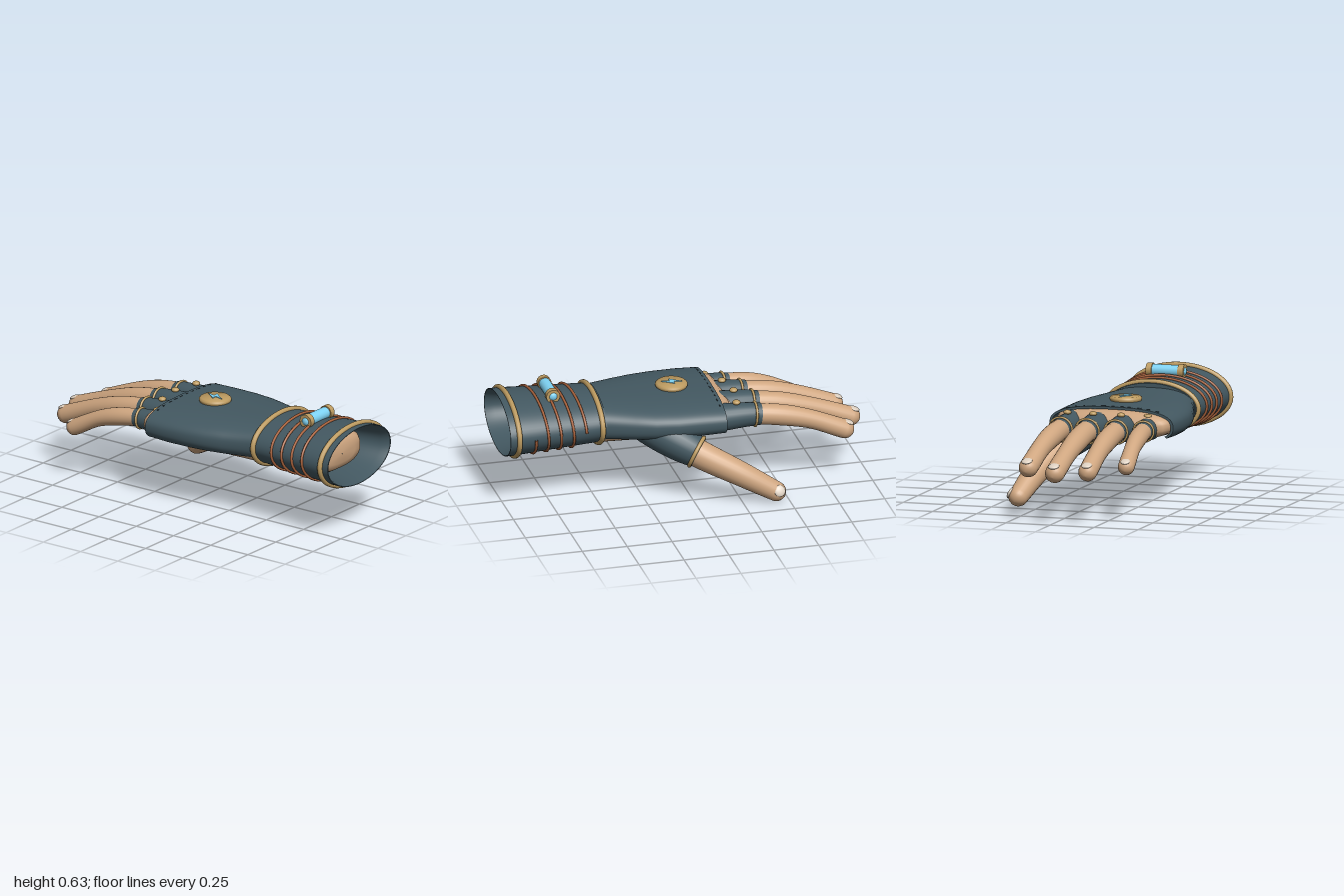
import * as THREE from 'three';
import { toCreasedNormals } from 'three/addons/utils/BufferGeometryUtils.js';

const mat = (color, side = THREE.FrontSide) => new THREE.MeshStandardMaterial({ color, side });
const M = {
  glove: mat(0x435861, THREE.DoubleSide), skin: mat(0xcfa680), gold: mat(0xbd9b60),
  copper: mat(0xa8623c), glass: mat(0x7fd4f5), nail: mat(0xdccfc0), thread: mat(0x28343a),
};
const V = (x, y, z) => new THREE.Vector3(x, y, z);
const CX = -0.085, CY = 0.43;

function add(parent, name, geo, material) {
  const m = new THREE.Mesh(geo, material);
  m.name = name;
  parent.add(m);
  return m;
}

// Skin a list of closed rings; ring direction and row direction give outward faces
function loft(rows) {
  const n = rows[0].length, idx = [], geo = new THREE.BufferGeometry();
  for (let i = 0; i < rows.length - 1; i++) for (let j = 0; j < n; j++) {
    const a = i * n + j, b = i * n + (j + 1) % n;
    idx.push(a, a + n, b, b, a + n, b + n);
  }
  geo.setFromPoints(rows.flat());
  geo.setIndex(idx);
  geo.computeVertexNormals();
  return geo;
}

// Superellipse point in a plane of constant z
function superPoint([z, cx, cy, rx, ry], a, n, inset = 0) {
  const c = Math.cos(a), s = Math.sin(a), e = 2 / n;
  return V(cx + (rx - inset) * Math.sign(c) * Math.abs(c) ** e,
    cy + (ry - inset) * Math.sign(s) * Math.abs(s) ** e, z);
}

function frameAt(curve, u) {
  const p = curve.getPointAt(u), t = curve.getTangentAt(u);
  const side = t.clone().cross(V(0, 1, 0)).normalize();
  return { p, t, side, up: side.clone().cross(t) };
}

// Tapered tube along part of a curve, with optional round ends and a pointed upper tab at its start
function limb(curve, u0, u1, radius, { round = false, tab = 0 } = {}) {
  const rows = [], N = 20, S = 24;
  const ring = (u, r, shift, k) => {
    const f = frameAt(curve, u);
    rows.push(Array.from({ length: S }, (_, j) => {
      const a = j / S * Math.PI * 2;
      const back = tab * (1 - k) * Math.max(0, Math.sin(a)) ** 3;
      return f.p.clone().addScaledVector(f.t, shift - back)
        .addScaledVector(f.side, r * Math.cos(a)).addScaledVector(f.up, r * Math.sin(a));
    }));
  };
  const dome = (u, dir) => {
    for (let i = 1; i <= 7; i++) {
      const a = (dir > 0 ? i : 8 - i) / 7 * Math.PI / 2, r = radius(u);
      ring(u, Math.max(0.0005, r * Math.cos(a)), dir * r * Math.sin(a), 1);
    }
  };
  if (round) dome(u0, -1);
  for (let i = 0; i <= N; i++) {
    const u = u0 + (u1 - u0) * i / N;
    ring(u, radius(u), 0, i / N);
  }
  if (round) dome(u1, 1);
  return loft(rows);
}

function band(parent, name, curve, u, r, tube) {
  const f = frameAt(curve, u), m = add(parent, name, new THREE.TorusGeometry(r, tube, 10, 36), M.gold);
  m.position.copy(f.p);
  m.quaternion.setFromUnitVectors(V(0, 0, 1), f.t);
}

function nail(parent, curve, r, sideways) {
  const f = frameAt(curve, 1);
  const out = f.up.clone().addScaledVector(f.side, sideways).normalize();
  const m = add(parent, 'nail', new THREE.SphereGeometry(1, 16, 12), M.nail);
  m.quaternion.setFromRotationMatrix(new THREE.Matrix4().makeBasis(out.clone().cross(f.t), out, f.t));
  m.scale.set(r * 0.6, r * 0.22, r * 0.6);
  m.position.copy(f.p).addScaledVector(out, r * 0.88).addScaledVector(f.t, r * 0.12);
}

function finger(name, bx, tx, tipZ, tipY, r0, r1, bandZ, sleeveLength = 0.13) {
  const g = new THREE.Group(), baseZ = -0.15, endZ = tipZ + r1;
  g.name = name;
  const at = (k, y) => V(bx + (tx - bx) * k, y, baseZ + (endZ - baseZ) * k);
  const curve = new THREE.CatmullRomCurve3([at(0, 0.423), at(0.35, 0.421), at(0.7, tipY + 0.085), at(1, tipY)]);
  const radius = u => r0 + (r1 - r0) * u + 0.002 * Math.cos(u * Math.PI * 4);
  add(g, 'fingerSkin', limb(curve, 0, 1, radius, { round: true }), M.skin);
  nail(g, curve, r1, 0);
  // Sleeve, gold band and knuckle stud
  const uAt = z => Math.max(0, (baseZ - z) / (baseZ - endZ) * 0.97);
  const uB = uAt(bandZ), uS = uAt(bandZ + sleeveLength), sr = u => r0 + 0.015 - 0.014 * (u - uS) / (uB - uS);
  add(g, 'fingerSleeve', limb(curve, uS, uAt(bandZ - 0.03), sr, { tab: 0.05 }), M.glove);
  band(g, 'fingerBand', curve, uB, sr(uB) + 0.002, 0.007);
  const f = frameAt(curve, uAt(bandZ + 0.1));
  const stud = add(g, 'knuckleStud', new THREE.SphereGeometry(0.022, 16, 12), M.gold);
  stud.scale.y = 0.6;
  stud.position.copy(f.p).addScaledVector(f.up, r0 + 0.015);
  return g;
}

export function createModel() {
  const model = new THREE.Group();

  // Palm and wrist
  const palm = [[0.885, CX, 0.415, 0.002, 0.002], [0.882, CX, 0.415, 0.12, 0.05], [0.868, CX, 0.415, 0.185, 0.082],
    [0.84, CX, 0.415, 0.213, 0.098], [0.78, CX, 0.415, 0.223, 0.103], [0.45, CX, 0.41, 0.228, 0.106],
    [0.3, -0.08, 0.422, 0.275, 0.105], [0.1, -0.08, 0.43, 0.328, 0.09], [-0.1, -0.078, 0.435, 0.337, 0.082],
    [-0.18, -0.092, 0.435, 0.314, 0.077], [-0.225, -0.105, 0.432, 0.278, 0.067], [-0.25, -0.1, 0.43, 0.23, 0.045],
    [-0.258, -0.09, 0.43, 0.002, 0.002]];
  add(model, 'palm', loft(palm.map(r => Array.from({ length: 48 }, (_, j) =>
    superPoint(r, j / 48 * Math.PI * 2, 2.6)))), M.skin);

  // Glove shell over the back of the hand, open under the palm
  const shell = [[0.5, CX, CY, 0.24, 0.11], [0.44, -0.083, CY, 0.252, 0.11], [0.3, -0.08, CY, 0.302, 0.108],
    [0.2, -0.078, CY, 0.33, 0.107], [0.08, -0.078, CY, 0.347, 0.106], [-0.06, -0.078, CY, 0.352, 0.104],
    [-0.185, -0.075, CY, 0.35, 0.099]];
  const arc = (r, inset) => Array.from({ length: 49 }, (_, j) =>
    superPoint(r, (-30 + 240 * j / 48) * Math.PI / 180, 2.6, inset));
  const shellRows = shell.map(r => [...arc(r, 0), ...arc(r, 0.014).reverse()]);
  const last = shell[shell.length - 1];
  shellRows.push([...arc(last, 0.014), ...arc(last, 0.014).reverse()]);
  add(model, 'gloveBack', toCreasedNormals(loft(shellRows), 0.7), M.glove);

  // Stitches along the knuckle edge
  for (let i = 0; i < 11; i++) {
    const x = -0.325 + i * 0.05, q = Math.abs((x + 0.075) / 0.35) ** 2.6;
    add(model, 'stitch', new THREE.BoxGeometry(0.025, 0.006, 0.006), M.thread)
      .position.set(x, CY + 0.098 * (1 - q) ** (1 / 2.6), -0.166);
  }

  // Cuff: hollow flared sleeve with rims
  const cuffProfile = [[0.2, 0.455], [0.254, 0.455], [0.258, 0.52], [0.271, 0.75], [0.284, 0.95], [0.284, 1],
    [0.278, 1], [0.259, 0.95], [0.232, 0.75], [0.222, 0.6], [0.2, 0.455]];
  const cuffGeo = new THREE.LatheGeometry(cuffProfile.map(p => new THREE.Vector2(...p)), 64);
  cuffGeo.rotateX(Math.PI / 2);
  const cuffRy = z => 0.135 + (z - 0.47) * 0.05;
  const cuffRx = z => 0.257 + (z - 0.47) * 0.056;
  const pos = cuffGeo.attributes.position;
  for (let i = 0; i < pos.count; i++) {
    const z = pos.getZ(i);
    pos.setXYZ(i, pos.getX(i) + CX, pos.getY(i) * cuffRy(z) / cuffRx(z) + CY, z);
  }
  add(model, 'cuff', toCreasedNormals(cuffGeo, 0.7), M.glove);
  const oval = (rx, ry, z0, z1, turns) => Array.from({ length: 48 * turns + 1 }, (_, i) => {
    const k = i / (48 * turns), a = -k * turns * Math.PI * 2, z = z0 + (z1 - z0) * k;
    return V(CX + rx(z) * Math.cos(a), CY + ry(z) * Math.sin(a), z);
  });
  for (const z of [0.95, 0.48]) {
    const pts = oval(q => cuffRx(q) + 0.003, q => cuffRy(q) + 0.003, z, z, 1).slice(0, -1);
    add(model, 'cuffRim', new THREE.TubeGeometry(new THREE.CatmullRomCurve3(pts, true), 96, 0.0145, 10, true), M.gold);
  }

  // Copper wire wound around the cuff
  const coil = oval(z => cuffRx(z) + 0.003, z => cuffRy(z) + 0.003, 0.858, 0.572, 4);
  add(model, 'copperCoil', new THREE.TubeGeometry(new THREE.CatmullRomCurve3(coil), 320, 0.0075, 8), M.copper);

  // Glass vial with gold end clamps
  const vial = new THREE.Group();
  vial.name = 'vial';
  vial.position.set(CX, 0.594, 0.717);
  vial.rotation.z = Math.PI / 2;
  add(vial, 'vialGlass', new THREE.CapsuleGeometry(0.032, 0.165, 8, 24), M.glass);
  for (const s of [-1, 1])
    add(vial, 'vialClamp', new THREE.CylinderGeometry(0.038, 0.038, 0.032, 28), M.gold).position.y = s * 0.09;
  model.add(vial);

  // Round emblem with a zigzag inlay
  const disc = [[0, 0.53], [0.082, 0.53], [0.088, 0.542], [0.087, 0.55], [0.078, 0.558], [0, 0.56]];
  add(model, 'emblemDisc', toCreasedNormals(new THREE.LatheGeometry(disc.map(p => new THREE.Vector2(...p)), 48), 0.9),
    M.gold).position.set(CX, 0, 0.032);
  const zigzag = new THREE.Shape([[0.014, 0.055], [-0.034, -0.008], [-0.006, -0.008], [-0.014, -0.055],
    [0.034, 0.012], [0.006, 0.012]].map(p => new THREE.Vector2(...p)));
  const inlay = add(model, 'emblemInlay', new THREE.ExtrudeGeometry(zigzag, { depth: 0.006, bevelEnabled: false }), M.glass);
  inlay.rotation.x = -Math.PI / 2;
  inlay.position.set(CX, 0.557, 0.032);

  // Fingers
  model.add(finger('littleFinger', -0.283, -0.339, -0.765, 0.295, 0.052, 0.043, -0.305));
  model.add(finger('ringFinger', -0.155, -0.179, -0.945, 0.285, 0.061, 0.049, -0.37));
  model.add(finger('middleFinger', -0.008, -0.009, -0.995, 0.277, 0.064, 0.051, -0.395));
  model.add(finger('indexFinger', 0.142, 0.168, -0.915, 0.287, 0.062, 0.05, -0.37, 0.19));

  // Thumb with its glove sleeve
  const thumb = new THREE.Group();
  thumb.name = 'thumb';
  const thumbCurve = new THREE.CatmullRomCurve3([V(0.2, 0.335, 0.07), V(0.252, 0.28, -0.02),
    V(0.33, 0.165, -0.24), V(0.37, 0.056, -0.43)]);
  add(thumb, 'thumbSkin', limb(thumbCurve, 0, 1, u => 0.08 - 0.026 * u + 0.004 * Math.sin(u * Math.PI),
    { round: true }), M.skin);
  nail(thumb, thumbCurve, 0.054, 1.6);
  const sleeve = new THREE.CatmullRomCurve3([V(0.07, 0.425, 0.3), V(0.165, 0.36, 0.13), V(0.253, 0.278, -0.03)]);
  add(thumb, 'thumbSleeve', limb(sleeve, 0, 1, u => 0.062 + 0.13 * u - 0.108 * u * u), M.glove);
  band(thumb, 'thumbBand', sleeve, 0.97, 0.085, 0.011);
  model.add(thumb);

  return model;
}
